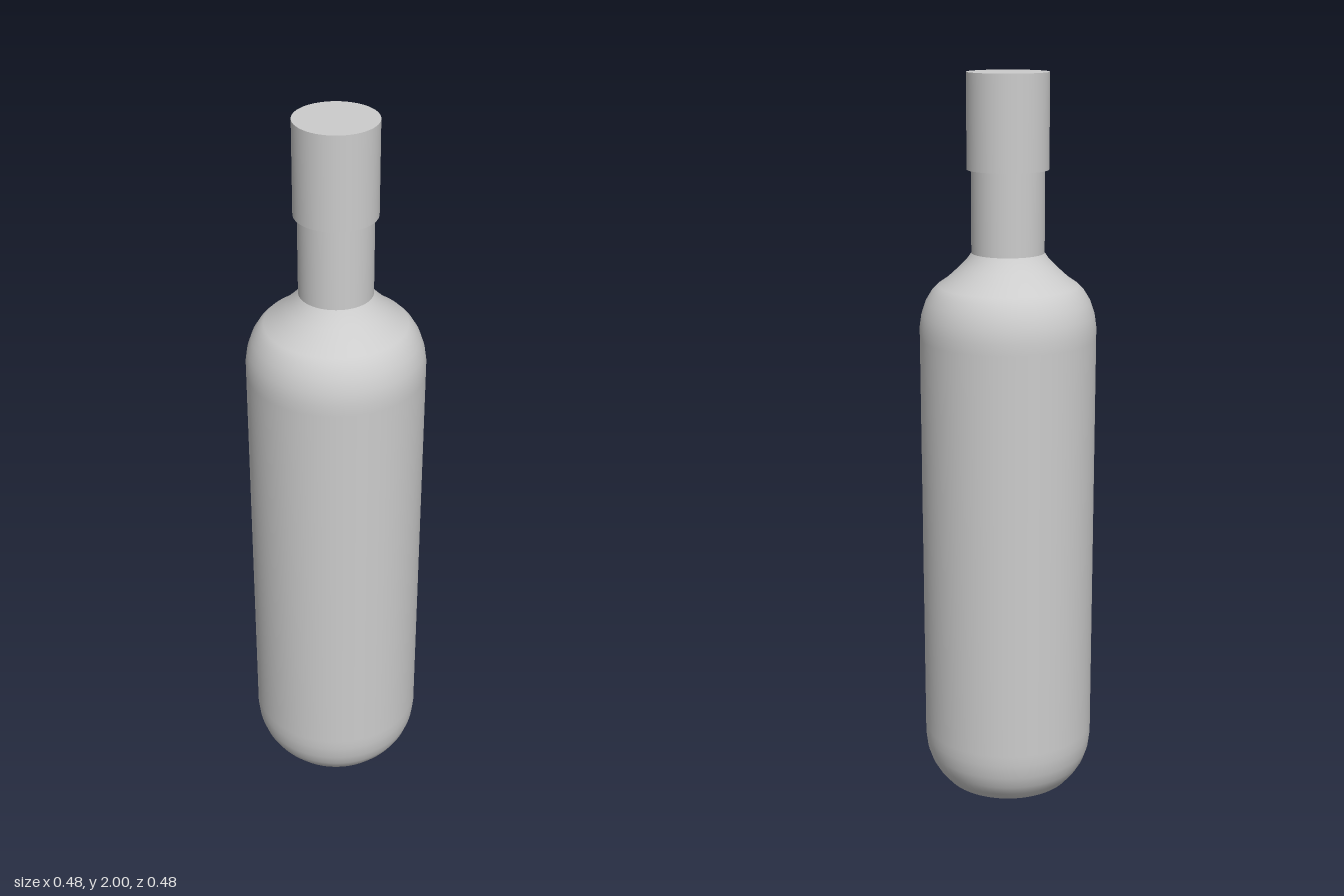
import * as THREE from 'three';

export function createModel() {
  const group = new THREE.Group();
  const grey = new THREE.MeshStandardMaterial({ color: 0xcccccc });
  grey.name = 'light grey';
  const SIDES = 64;

  // Turned part from [radius, height] pairs, listed bottom to top
  const turn = (name, profile) => {
    const points = profile.map(([r, y]) => new THREE.Vector2(r, y));
    const mesh = new THREE.Mesh(new THREE.LatheGeometry(points, SIDES), grey);
    mesh.name = name;
    group.add(mesh);
  };

  // Flat disc facing up or down
  const disc = (name, radius, y, up) => {
    const mesh = new THREE.Mesh(new THREE.CircleGeometry(radius, SIDES), grey);
    mesh.rotation.x = up ? -Math.PI / 2 : Math.PI / 2;
    mesh.position.y = y;
    mesh.name = name;
    group.add(mesh);
  };

  // Body with rounded foot and sloping shoulder
  disc('base', 0.183, 0.005, false);
  turn('body', [
    [0.183, 0.005], [0.205, 0.026], [0.222, 0.055], [0.234, 0.09], [0.239, 0.13],
    [0.239, 0.16], [0.239, 1.3], [0.239, 1.33], [0.234, 1.365], [0.222, 1.4],
    [0.205, 1.428], [0.19, 1.443], [0.165, 1.46], [0.13, 1.492], [0.11, 1.513], [0.098, 1.53],
  ]);

  // Neck
  turn('neck', [[0.098, 1.53], [0.098, 1.752]]);

  // Cap with a small lip below
  turn('capLip', [[0.096, 1.75], [0.109, 1.75]]);
  turn('cap', [[0.109, 1.75], [0.109, 2]]);
  disc('capTop', 0.109, 2, true);

  // Set the base exactly on the ground
  group.getObjectByName('base').position.y = 0;
  const foot = group.getObjectByName('body').geometry.attributes.position;
  for (let i = 0; i < foot.count; i++) if (foot.getY(i) < 0.006) foot.setY(i, 0);

  return group;
}
